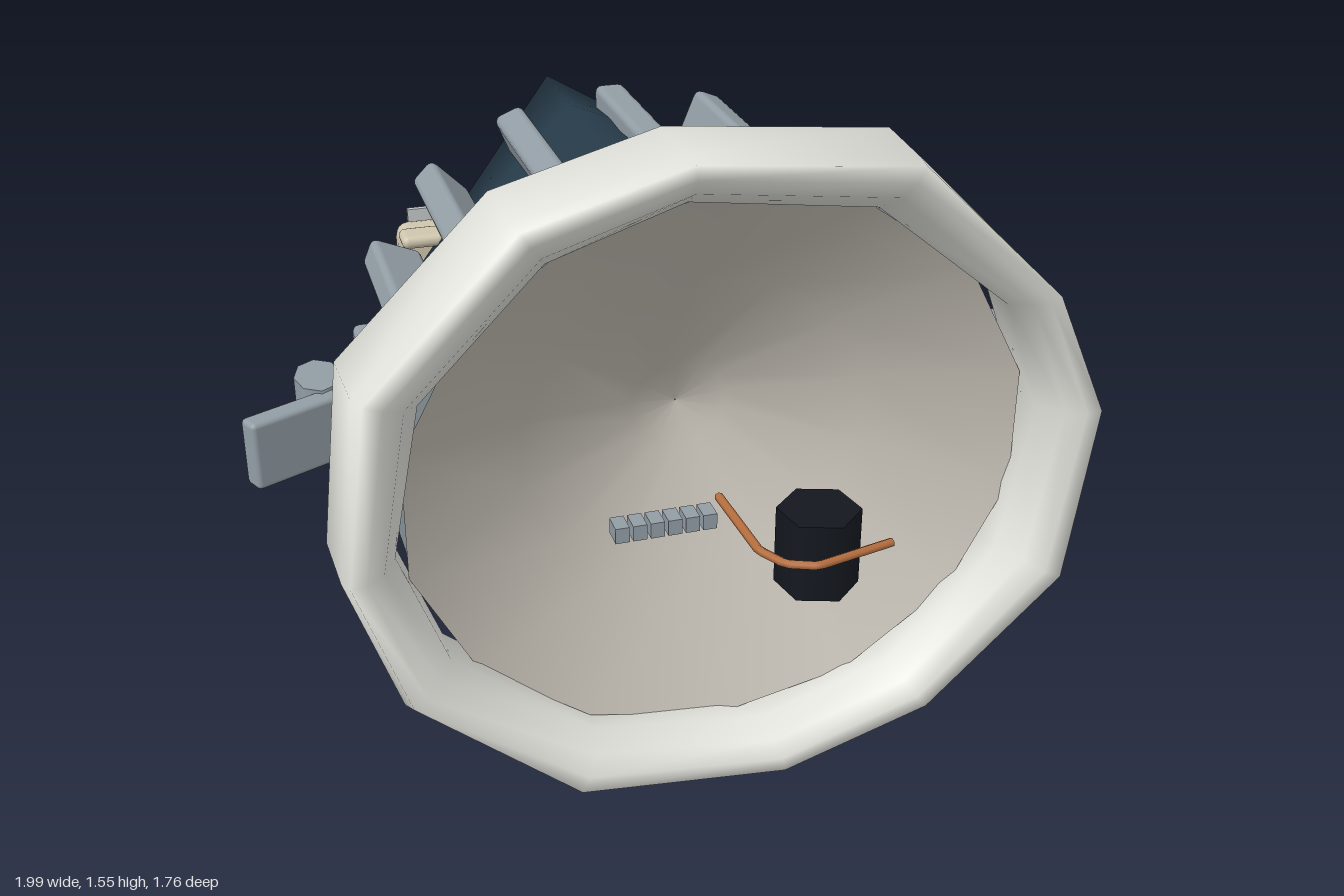
import * as THREE from 'three';
import { RoundedBoxGeometry } from 'three/addons/geometries/RoundedBoxGeometry.js';

const CY = 0.775; // height of the lamp axis
const mat = (color) => new THREE.MeshStandardMaterial({ color, side: THREE.DoubleSide });
const M = {
  bezel: mat(0xe4e4de), cone: mat(0xc0bbb1), body: mat(0x263a48), metal: mat(0x929da5),
  cream: mat(0xcfc6ae), gold: mat(0xbb9450), dark: mat(0x14181f), slate: mat(0x2c3333),
  red: mat(0x9c2a20), copper: mat(0xb87040), silver: mat(0xc4c8ca),
};

function add(parent, name, geo, material, x = 0, y = 0, z = 0) {
  const m = new THREE.Mesh(geo, material);
  m.name = name;
  m.position.set(x, y, z);
  parent.add(m);
  return m;
}
const box = (w, h, d) => new THREE.BoxGeometry(w, h, d);
const rbox = (w, h, d, r) => new RoundedBoxGeometry(w, h, d, 2, r);
// cylinder lying along z
const cylZ = (r1, r2, len, seg = 16) => new THREE.CylinderGeometry(r1, r2, len, seg).rotateX(Math.PI / 2);

function meshGeometry(pos, idx) {
  const g = new THREE.BufferGeometry();
  g.setAttribute('position', new THREE.Float32BufferAttribute(pos, 3));
  g.setIndex(idx);
  g.computeVertexNormals();
  return g;
}

// irregular faceted rim: sections running from an inner ellipse (t = 0) to the outer outline (t = 1)
function bezelGeometry() {
  const outline = [[0.86, 0.86], [0.72, 1.16], [0.38, 1.50], [-0.12, 1.55], [-0.48, 1.45], [-0.81, 1.12],
    [-0.86, 0.70], [-0.75, 0.37], [-0.38, 0.05], [0.12, 0], [0.48, 0.11], [0.81, 0.42]];
  const section = [[0, 0.45], [0, 0.55], [0.25, 0.62], [0.55, 0.648], [0.82, 0.65], [0.93, 0.6], [1, 0.43], [0.5, 0.43]];
  const pos = [], idx = [], n = outline.length, k = section.length;
  for (const [x, y] of outline) {
    const a = Math.atan2((y - CY) / 0.66, x / 0.735);
    const ix = Math.cos(a) * 0.735, iy = CY + Math.sin(a) * 0.66;
    for (const [t, z] of section)
      pos.push(ix + (x - ix) * t, iy + (y - iy) * t + (z > 0.6 ? 0.012 : 0), z);
  }
  for (let i = 0; i < n; i++)
    for (let j = 0; j < k; j++) {
      const a = i * k + j, b = i * k + (j + 1) % k;
      const c = ((i + 1) % n) * k + j, d = ((i + 1) % n) * k + (j + 1) % k;
      idx.push(a, c, b, b, c, d);
    }
  return meshGeometry(pos, idx);
}

// housing: round at the front, blending to a turned square at the closed back
function housingGeometry() {
  const n = 24, rows = 4, pos = [], idx = [], q = Math.PI / 4;
  for (let r = 0; r <= rows; r++)
    for (let i = 0; i < n; i++) {
      const a = i / n * Math.PI * 2, t = r / rows;
      const square = 0.7 * Math.cos(q) / Math.cos(a % (2 * q) - q);
      const radius = 0.66 + (square - 0.66) * t, turned = a + 0.2;
      pos.push(Math.cos(turned) * radius, Math.sin(turned) * radius, 0.39 - 0.885 * t);
    }
  pos.push(0, 0, -0.495);
  for (let i = 0; i < n; i++) {
    const j = (i + 1) % n;
    for (let r = 0; r < rows; r++) {
      const a = r * n + i, b = r * n + j;
      idx.push(a, a + n, b, b, a + n, b + n);
    }
    idx.push(rows * n + j, rows * n + i, (rows + 1) * n);
  }
  return meshGeometry(pos, idx);
}

function threadedScrew(name, radius, length, turns) {
  const s = new THREE.Group();
  s.name = name;
  add(s, 'shaft', cylZ(radius * 0.75, radius * 0.75, length, 10), M.metal);
  for (let i = 0; i < turns; i++) {
    const t = add(s, 'thread', new THREE.TorusGeometry(radius * 0.8, radius * 0.22, 5, 12), M.metal,
      0, 0, (i + 0.5) / turns * length - length / 2);
    t.rotation.x = 0.15;
  }
  return s;
}

// screw terminal facing the back
function terminal(x) {
  const t = new THREE.Group();
  t.name = 'screwTerminal';
  t.position.x = x;
  for (const s of [-1, 1]) {
    add(t, 'sidePost', box(0.05, 0.31, 0.17), M.slate, s * 0.19, 0.745, -0.695);
    add(t, 'goldClamp', rbox(0.04, 0.26, 0.16, 0.01), M.gold, s * 0.14, 0.72, -0.70);
  }
  add(t, 'goldFoot', box(0.32, 0.03, 0.18), M.gold, 0, 0.60, -0.70);
  add(t, 'topStrip', box(0.41, 0.10, 0.015), M.silver, 0, 0.915, -0.785);
  add(t, 'barrel', cylZ(0.11, 0.11, 0.17, 20), M.silver, 0, 0.72, -0.70);
  add(t, 'goldRing', new THREE.TorusGeometry(0.09, 0.018, 8, 20), M.gold, 0, 0.69, -0.795);
  const screw = threadedScrew('clampScrew', 0.045, 0.17, 5);
  screw.position.set(0, 0.81, -0.765);
  t.add(screw);
  add(t, 'screwHead', cylZ(0.08, 0.075, 0.045, 20), M.silver, 0, 0.81, -0.863);
  add(t, 'screwSlot', box(0.018, 0.14, 0.006), M.slate, 0, 0.81, -0.885).rotation.z = 0.3;
  return t;
}

// spring clip on one side of the housing
function sideClip(side) {
  const c = new THREE.Group();
  c.name = side > 0 ? 'leftClip' : 'rightClip';
  const arm = add(c, 'clipArm', rbox(0.36, 0.165, 0.055, 0.012), M.metal, side * 0.825, 0.78, 0.068);
  arm.rotation.y = -side * 0.44;
  const boss = add(c, 'clipBoss', new THREE.CylinderGeometry(1, 1, 0.19, 8), M.metal, side * 0.81, 0.775, -0.03);
  boss.scale.set(0.055, 1, 0.085);
  const screw = threadedScrew('clipScrew', 0.018, 0.13, 5);
  screw.position.set(side * 0.81, 0.78, -0.145);
  c.add(screw);
  return c;
}

export function createModel() {
  const model = new THREE.Group();
  model.name = 'recessedLamp';

  // front rim and reflector
  add(model, 'bezel', bezelGeometry(), M.bezel);
  const profile = [[0.001, 0.15], [0.12, 0.18], [0.42, 0.32], [0.72, 0.51]].map(([r, z]) => new THREE.Vector2(r, z));
  const cone = add(model, 'reflector', new THREE.LatheGeometry(profile, 14).rotateX(Math.PI / 2), M.cone, 0, CY, 0);
  cone.scale.y = 0.91;

  // housing with mounting flange
  const housing = new THREE.Group();
  housing.name = 'housing';
  housing.position.y = CY;
  housing.scale.y = 0.9;
  add(housing, 'housingShell', housingGeometry(), M.body);
  const ring = new THREE.Shape().absarc(0, 0, 0.71, 0, Math.PI * 2);
  ring.holes.push(new THREE.Path().absarc(0, 0, 0.62, 0, Math.PI * 2, true));
  add(housing, 'flange', new THREE.ExtrudeGeometry(ring, { depth: 0.035, bevelEnabled: false, curveSegments: 24 }), M.metal, 0, 0, 0.39);
  model.add(housing);

  // sixteen cooling fins
  for (let i = 0; i < 16; i++) {
    const a = i * Math.PI / 8;
    const fin = add(model, 'coolingFin', rbox(0.075, 0.135, 0.78, 0.018), M.metal,
      Math.cos(a) * 0.617, CY + Math.sin(a) * 0.54, -0.03);
    fin.rotation.z = a - Math.PI / 2;
  }

  model.add(sideClip(1), sideClip(-1));

  // rear connector block
  const block = new THREE.Group();
  block.name = 'connectorBlock';
  add(block, 'backPlate', rbox(1.07, 0.465, 0.1, 0.035), M.cream, 0, 0.775, -0.56);
  add(block, 'shelf', box(1.07, 0.04, 0.25), M.cream, 0, 0.565, -0.73);
  add(block, 'divider', box(0.02, 0.44, 0.27), M.cream, 0, 0.79, -0.71);
  for (const s of [-1, 1]) {
    for (const y of [0.62, 0.995]) add(block, 'foot', rbox(0.11, y < 0.8 ? 0.14 : 0.035, 0.08, 0.017), M.cream, s * 0.48, y, -0.495);
    block.add(terminal(s * 0.268));
    add(block, s > 0 ? 'darkTab' : 'redTab', box(0.37, 0.065, 0.1), s > 0 ? M.dark : M.red, s * 0.268, 0.515, -0.735);
  }
  model.add(block);

  // small parts in front of the reflector
  for (let i = 0; i < 6; i++) add(model, 'contactPad', box(0.031, 0.036, 0.05), M.metal, -0.26 + i * 0.039, 0.72, 0.59);
  add(model, 'sensorBox', new THREE.CylinderGeometry(0.093, 0.093, 0.185, 6), M.dark, 0.168, 0.645, 0.655).rotation.y = 0.2;
  const wirePath = new THREE.CurvePath();
  const pts = [[-0.025, 0.55], [-0.015, 0.78], [0.02, 0.845], [0.08, 0.87], [0.26, 0.83]].map(([x, z]) => new THREE.Vector3(x, 0.74, z));
  for (let i = 1; i < pts.length; i++) wirePath.add(new THREE.LineCurve3(pts[i - 1], pts[i]));
  add(model, 'copperWire', new THREE.TubeGeometry(wirePath, 32, 0.01, 6), M.copper);

  return model;
}
